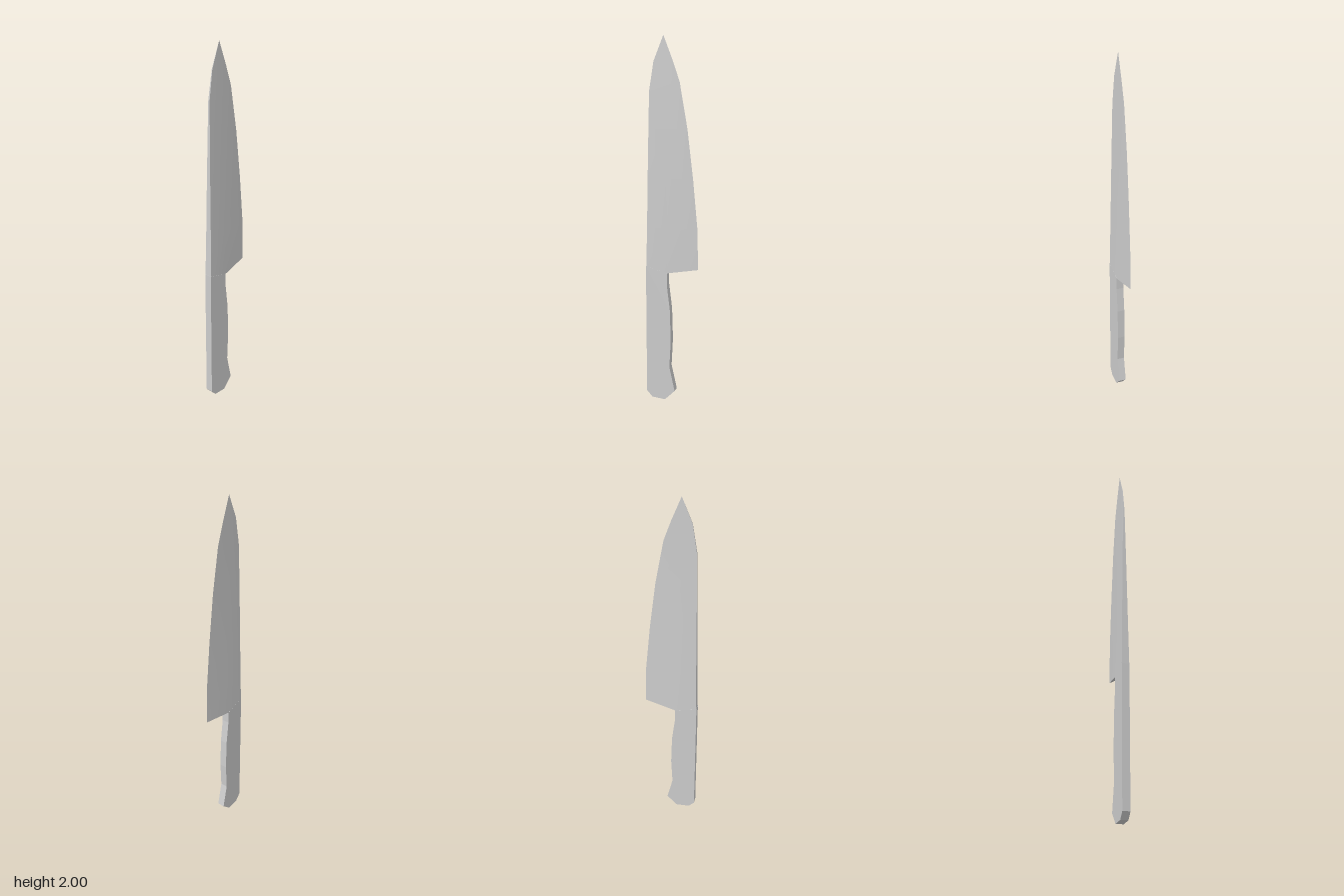
import * as THREE from 'three';
import { toCreasedNormals } from 'three/addons/utils/BufferGeometryUtils.js';

const HALF = 0.02; // half thickness of the handle and of the blade's heel

// Blade stations from heel to tip: spine x, spine y, edge x, edge y
const STATIONS = [
  [-0.145, 0.78, 0.143, 0.78],
  [-0.14, 1.0, 0.138, 1.0],
  [-0.136, 1.27, 0.112, 1.27],
  [-0.131, 1.53, 0.08, 1.53],
  [-0.127, 1.72, 0.037, 1.77],
  [-0.103, 1.87, 0.0, 1.875],
];
const TIP = [-0.05, 2.0, 0];

// Wedge-shaped loft: thick spine, thin cutting edge, tapering to the tip
function bladeGeometry() {
  const rings = STATIONS.map(([sx, sy, ex, ey], i) => {
    const t = HALF * (2 - sy) / (2 - 0.78);
    const mx = sx + 0.41 * (ex - sx);
    const my = i === 0 ? 0.75 : sy + 0.41 * (ey - sy);
    const m = t * 0.97;
    return [[sx, sy, t], [mx, my, m], [ex, ey, 0], [mx, my, -m], [sx, sy, -t]];
  });
  const positions = [];
  const tri = (...corners) => corners.forEach((c) => positions.push(...c));
  const n = 5;
  rings.forEach((ring, i) => {
    const next = rings[i + 1];
    for (let j = 0; j < n; j++) {
      const k = (j + 1) % n;
      if (next) {
        tri(ring[j], ring[k], next[k]);
        tri(ring[j], next[k], next[j]);
      } else {
        tri(ring[j], ring[k], TIP);
      }
    }
  });
  // Underside of the heel
  const [s0, m0, edge, m1, s1] = rings[0];
  tri(m0, m1, edge);
  tri(s0, s1, m1);
  tri(s0, m1, m0);
  const geometry = new THREE.BufferGeometry();
  geometry.setAttribute('position', new THREE.Float32BufferAttribute(positions, 3));
  return toCreasedNormals(geometry, 0.6);
}

// Flat slab with a finger curve and a flared, chamfered butt
function handleGeometry() {
  const outline = [
    [-0.147, 0.78], [-0.147, 0.04], [-0.115, 0.005], [-0.04, 0], [0.018, 0.06],
    [-0.013, 0.2], [-0.005, 0.36], [-0.01, 0.54], [-0.027, 0.68], [-0.027, 0.75],
  ];
  const shape = new THREE.Shape(outline.map(([x, y]) => new THREE.Vector2(x, y)));
  const geometry = new THREE.ExtrudeGeometry(shape, { depth: 2 * HALF, bevelEnabled: false });
  geometry.translate(0, 0, -HALF);
  return geometry;
}

export function createModel() {
  const group = new THREE.Group();
  group.name = 'kitchenKnife';
  const steel = new THREE.MeshStandardMaterial({ color: 0xcccccc });
  steel.name = 'steel grey';

  const blade = new THREE.Mesh(bladeGeometry(), steel);
  blade.name = 'blade';
  const handle = new THREE.Mesh(handleGeometry(), steel);
  handle.name = 'handle';
  group.add(blade, handle);
  return group;
}
